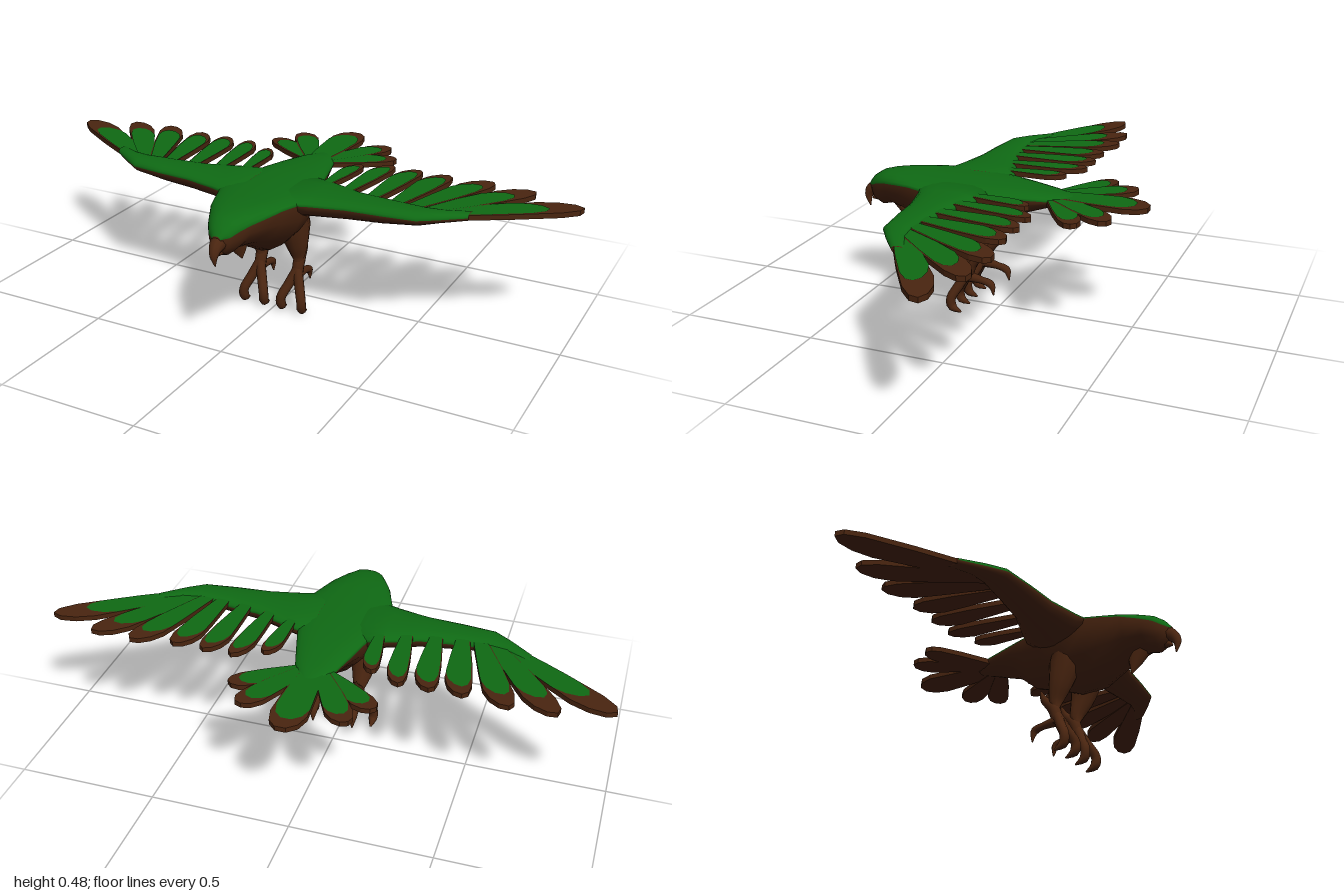
import * as THREE from 'three';

const green = new THREE.MeshStandardMaterial({ color: 0x0f6a14 });
green.name = 'greenPlumage';
const brown = new THREE.MeshStandardMaterial({ color: 0x4a2510 });
brown.name = 'brownPlumage';

function mesh(name, geometry, material) {
  const m = new THREE.Mesh(geometry, material);
  m.name = name;
  return m;
}

// Half cross-sections above and below a middle line: [across, y] pairs, upper half first
const HALF = 10;
function ring(width, top, mid, bottom) {
  const pts = [];
  for (let i = 0; i < HALF * 2; i++) {
    const a = (i / HALF) * Math.PI;
    const c = Math.cos(a), s = Math.sin(a), upper = s >= 0;
    const across = Math.sign(c) * Math.pow(Math.abs(c), upper ? 0.8 : 1.3) * width;
    pts.push([across, mid + s * (upper ? top - mid : mid - bottom)]);
  }
  return pts;
}

// Skins rings of 3D points: green on the upper half, brown on the lower
function loft(name, rings, flip) {
  const n = HALF * 2, pos = [], upper = [], lower = [];
  rings.forEach(r => r.forEach(p => pos.push(...p)));
  const tri = (list, a, b, c) => (flip ? list.push(a, c, b) : list.push(a, b, c));
  for (let k = 0; k < rings.length - 1; k++) {
    for (let i = 0; i < n; i++) {
      const list = i < HALF ? upper : lower;
      const a = k * n + i, b = k * n + (i + 1) % n;
      tri(list, a, b, a + n);
      tri(list, b, b + n, a + n);
    }
  }
  const last = (rings.length - 1) * n;
  for (let i = 1; i < n - 1; i++) {
    tri(lower, 0, i + 1, i);
    tri(lower, last, last + i, last + i + 1);
  }
  const g = new THREE.BufferGeometry();
  g.setAttribute('position', new THREE.Float32BufferAttribute(pos, 3));
  g.setIndex([...upper, ...lower]);
  g.addGroup(0, upper.length, 0);
  g.addGroup(upper.length, lower.length, 1);
  g.computeVertexNormals();
  return mesh(name, g, [green, brown]);
}

// Tapered tube through points [x, y, z, radius]
function limb(name, pts, side = 1) {
  const curve = new THREE.CatmullRomCurve3(pts.map(p => new THREE.Vector3(p[0] * side, p[1], p[2])));
  const seg = 16, radial = 10;
  const g = new THREE.TubeGeometry(curve, seg, 1, radial);
  const pos = g.attributes.position, v = new THREE.Vector3();
  for (let i = 0; i <= seg; i++) {
    const centre = curve.getPointAt(i / seg);
    const t = curve.getUtoTmapping(i / seg) * (pts.length - 1);
    const k = Math.min(Math.floor(t), pts.length - 2);
    const r = THREE.MathUtils.lerp(pts[k][3], pts[k + 1][3], t - k);
    for (let j = 0; j <= radial; j++) {
      const id = i * (radial + 1) + j;
      v.fromBufferAttribute(pos, id).sub(centre).multiplyScalar(r).add(centre);
      pos.setXYZ(id, v.x, v.y, v.z);
    }
  }
  return mesh(name, g, brown);
}

// Feather outline: [fraction of length, fraction of half width], outer side positive
const OUTLINE = [[0, -0.5], [0.5, -0.85], [0.8, -1], [0.93, -0.75], [1, -0.25],
  [1, 0.35], [0.93, 0.8], [0.8, 1], [0.5, 0.9], [0, 0.5]];

// Brown blade with a thin green plate on top that leaves the tip brown
function feather(name, [bx, bz], [tx, tz], width, y, greenPart, skew, side) {
  const L = Math.hypot(tx - bx, tz - bz);
  const dx = (tx - bx) / L, dz = (tz - bz) / L;
  const shape = (ls, ws, shift) => new THREE.Shape(OUTLINE.map(([s, t]) => {
    const along = s * ls * L * (1 - skew * (0.5 - t / 2));
    const across = (t * ws + shift) * width;
    return new THREE.Vector2(side * (bx + dx * along - dz * across), -(bz + dz * along + dx * across));
  }));
  const group = new THREE.Group();
  group.name = name;
  const blade = new THREE.ExtrudeGeometry(shape(1, 1, 0), { depth: 0.018, bevelEnabled: false });
  blade.rotateX(-Math.PI / 2).translate(0, y, 0);
  const plate = new THREE.ShapeGeometry(shape(greenPart, 0.92, -0.05));
  plate.rotateX(-Math.PI / 2).translate(0, y + 0.02, 0);
  group.add(mesh('blade', blade, brown), mesh('greenTop', plate, green));
  return group;
}

// z, half width, top, middle, bottom
const BODY = [
  [-0.27, 0.03, 0.455, 0.445, 0.43], [-0.2, 0.07, 0.465, 0.445, 0.41],
  [-0.1, 0.1, 0.474, 0.45, 0.375], [-0.03, 0.12, 0.477, 0.455, 0.315],
  [0.05, 0.14, 0.48, 0.455, 0.29], [0.14, 0.16, 0.48, 0.455, 0.255],
  [0.22, 0.16, 0.48, 0.455, 0.255], [0.3, 0.13, 0.48, 0.455, 0.3],
  [0.36, 0.11, 0.48, 0.45, 0.33], [0.42, 0.08, 0.475, 0.44, 0.345],
  [0.46, 0.06, 0.465, 0.43, 0.335], [0.49, 0.04, 0.445, 0.415, 0.35],
  [0.51, 0.015, 0.42, 0.41, 0.38]];

// x, front z, back z, top, middle, bottom
const WING = [
  [0.08, 0.27, -0.02, 0.478, 0.455, 0.38], [0.18, 0.235, 0.01, 0.48, 0.455, 0.39],
  [0.3, 0.205, 0.055, 0.48, 0.455, 0.4], [0.42, 0.195, 0.07, 0.48, 0.455, 0.41],
  [0.54, 0.18, 0.08, 0.479, 0.455, 0.425], [0.6, 0.14, 0.07, 0.475, 0.455, 0.435],
  [0.68, 0.08, 0.03, 0.468, 0.455, 0.44]];

// base, tip, half width, y, green share
const WING_FEATHERS = [
  [[0.55, 0.12], [1, -0.19], 0.05, 0.445, 0.78], [[0.54, 0.11], [0.81, -0.25], 0.048, 0.447, 0.8],
  [[0.5, 0.1], [0.65, -0.26], 0.048, 0.45, 0.84], [[0.44, 0.1], [0.49, -0.24], 0.046, 0.452, 0.88],
  [[0.35, 0.09], [0.38, -0.24], 0.042, 0.452, 0.9], [[0.25, 0.08], [0.28, -0.24], 0.036, 0.452, 0.9],
  [[0.16, 0.05], [0.18, -0.19], 0.03, 0.452, 0.9]];

const TAIL_FEATHERS = [
  [[0.02, -0.2], [0.18, -0.46], 0.045, 0.433, 0.86], [[0.03, -0.2], [0.25, -0.36], 0.04, 0.431, 0.86]];

export function createModel() {
  const model = new THREE.Group();
  model.name = 'bird';

  // Body, beak and breast tuft
  model.add(loft('body', BODY.map(([z, w, t, m, b]) => ring(w, t, m, b).map(([x, y]) => [x, y, z]))));
  model.add(limb('beak', [[0, 0.4, 0.47, 0.035], [0, 0.385, 0.51, 0.024], [0, 0.36, 0.525, 0.015], [0, 0.32, 0.52, 0.002]]));
  model.add(limb('lowerBeak', [[0, 0.37, 0.46, 0.025], [0, 0.36, 0.49, 0.015], [0, 0.35, 0.51, 0.002]]));
  model.add(limb('breastTuft', [[0, 0.36, 0.38, 0.04], [0, 0.32, 0.365, 0.024], [0, 0.28, 0.35, 0.002]]));

  // Tail
  model.add(feather('middleTailFeather', [0, -0.16], [0, -0.54], 0.062, 0.435, 0.88, 0, 1));

  for (const side of [1, -1]) {
    const label = side > 0 ? 'left' : 'right';
    TAIL_FEATHERS.forEach((f, i) => model.add(feather(`${label}TailFeather${i + 1}`, ...f, 0.05, side)));

    // Wing
    const wing = new THREE.Group();
    wing.name = `${label}Wing`;
    const rings = WING.map(([x, zf, zb, t, m, b]) =>
      ring((zf - zb) / 2, t, m, b).map(([v, y]) => [x * side, y, (zf + zb) / 2 + v]));
    wing.add(loft('wingArm', rings, side > 0));
    WING_FEATHERS.forEach((f, i) => wing.add(feather(`wingFeather${i + 1}`, ...f, 0.12, side)));
    model.add(wing);

    // Leg and talons
    const leg = new THREE.Group();
    leg.name = `${label}Leg`;
    leg.add(limb('thigh', [[0.08, 0.4, 0.14, 0.05], [0.08, 0.33, 0.13, 0.058], [0.08, 0.26, 0.11, 0.042],
      [0.075, 0.2, 0.09, 0.024], [0.075, 0.17, 0.09, 0.01]], side));
    leg.add(limb('shank', [[0.075, 0.255, 0.03, 0.004], [0.075, 0.22, 0.045, 0.015],
      [0.075, 0.18, 0.08, 0.022], [0.075, 0.12, 0.1, 0.02]], side));
    leg.add(limb('backToe', [[0.075, 0.13, 0.1, 0.02], [0.075, 0.122, 0.04, 0.013],
      [0.075, 0.11, 0.005, 0.015], [0.075, 0.07, -0.005, 0.002]], side));
    for (const x of [0.035, 0.115]) {
      leg.add(limb('frontToe', [[0.075, 0.15, 0.095, 0.018], [(x + 0.075) / 2, 0.1, 0.12, 0.018],
        [x, 0.05, 0.145, 0.017], [x, 0.02, 0.14, 0.018], [x, 0.003, 0.105, 0.003]], side));
    }
    model.add(leg);
  }
  return model;
}
